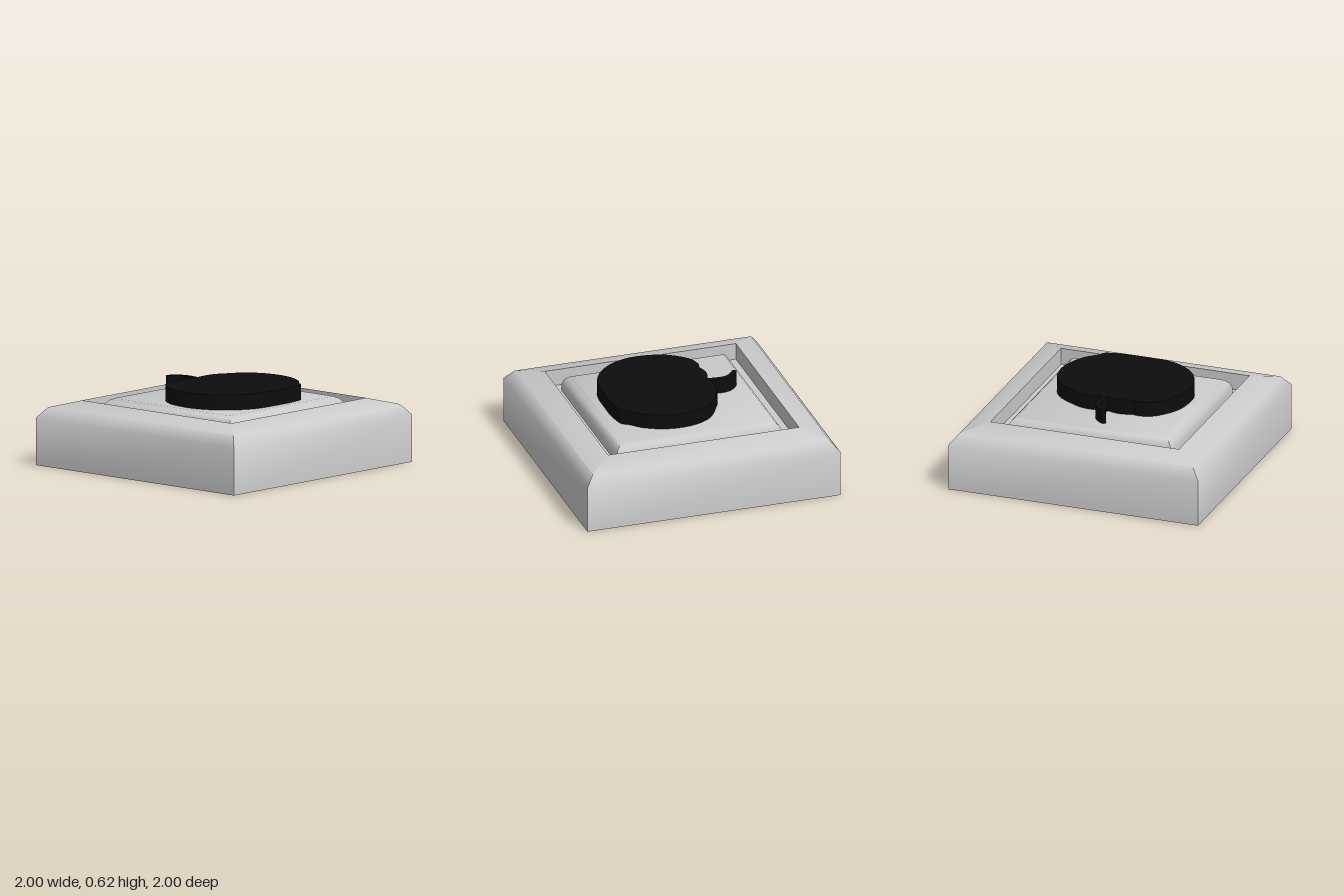
import * as THREE from 'three';
import { toCreasedNormals } from 'three/addons/utils/BufferGeometryUtils.js';

const grey = new THREE.MeshStandardMaterial({ color: 0xcccccc });
const black = new THREE.MeshStandardMaterial({ color: 0x0d0d0d });

// Stacks square rings [halfWidth, y] into a closed solid
function squareLoft(rings) {
  const corners = [[1, 1], [1, -1], [-1, -1], [-1, 1]];
  const pos = [], index = [];
  for (const [h, y] of rings) for (const [cx, cz] of corners) pos.push(cx * h, y, cz * h);
  for (let r = 0; r < rings.length - 1; r++) {
    for (let k = 0; k < 4; k++) {
      const a = r * 4 + k, b = r * 4 + (k + 1) % 4;
      index.push(a, b, b + 4, a, b + 4, a + 4);
    }
  }
  const t = (rings.length - 1) * 4;
  index.push(0, 2, 1, 0, 3, 2, t, t + 1, t + 2, t, t + 2, t + 3);
  const geo = new THREE.BufferGeometry();
  geo.setAttribute('position', new THREE.Float32BufferAttribute(pos, 3));
  geo.setIndex(index);
  return toCreasedNormals(geo, 0.9);
}

// Extrudes a plan outline (x, z) upward between two heights
function slab(points, y0, y1) {
  const shape = new THREE.Shape(points.map(p => new THREE.Vector2(p.x, -p.y)));
  const geo = new THREE.ExtrudeGeometry(shape, { depth: y1 - y0, bevelEnabled: false });
  geo.rotateX(-Math.PI / 2).translate(0, y0, 0);
  return toCreasedNormals(geo, 0.6);
}

const toCurve = (pts, closed) => new THREE.CatmullRomCurve3(
  pts.map(([x, z]) => new THREE.Vector3(x, z, 0)), closed);

export function createModel() {
  const group = new THREE.Group();
  const add = (name, geo, mat) => {
    const mesh = new THREE.Mesh(geo, mat);
    mesh.name = name;
    group.add(mesh);
  };

  // Bevelled square base with a sunken square recess
  add('base', squareLoft([
    [1, 0], [1, 0.36], [0.935, 0.44], [0.755, 0.49], [0.755, 0.36],
  ]), grey);

  // Cushioned pad standing in the recess
  add('pad', squareLoft([
    [0.655, 0.355], [0.655, 0.42], [0.64, 0.46], [0.61, 0.49], [0.58, 0.505],
  ]), grey);

  // Raised fruit silhouette
  const fruit = toCurve([
    [-0.53, 0.11], [-0.5, -0.08], [-0.42, -0.21], [-0.35, -0.27], [-0.26, -0.295],
    [-0.2, -0.285], [-0.155, -0.3], [-0.085, -0.305], [-0.01, -0.285], [0.06, -0.295],
    [0.14, -0.3], [0.22, -0.285], [0.285, -0.25], [0.35, -0.215], [0.43, -0.15],
    [0.49, -0.04], [0.512, 0.1], [0.49, 0.235], [0.42, 0.375], [0.34, 0.455],
    [0.31, 0.5], [0.245, 0.52], [0.14, 0.535], [-0.01, 0.535], [-0.165, 0.53],
    [-0.26, 0.505], [-0.37, 0.44], [-0.46, 0.34], [-0.515, 0.22],
  ], true);
  add('fruit', slab(fruit.getPoints(140).slice(0, -1), 0.5, 0.62), black);

  // Curved stem: a ribbon around a centre line with a rounded tip
  const line = toCurve([[0.01, -0.27], [0.02, -0.35], [0.02, -0.41], [-0.005, -0.465], [-0.058, -0.51]], false);
  const half = 0.019, n = 20, left = [], right = [], tip = [];
  for (let i = 0; i <= n; i++) {
    const p = line.getPoint(i / n), d = line.getTangent(i / n);
    left.push(new THREE.Vector2(p.x + d.y * half, p.y - d.x * half));
    right.unshift(new THREE.Vector2(p.x - d.y * half, p.y + d.x * half));
  }
  const end = line.getPoint(1), dir = line.getTangent(1);
  for (let i = 1; i < 6; i++) {
    const a = Math.PI * i / 6, c = Math.cos(a) * half, s = Math.sin(a) * half;
    tip.push(new THREE.Vector2(end.x + dir.y * c + dir.x * s, end.y - dir.x * c + dir.y * s));
  }
  add('stem', slab([...left, ...tip, ...right], 0.5, 0.62), black);

  return group;
}
